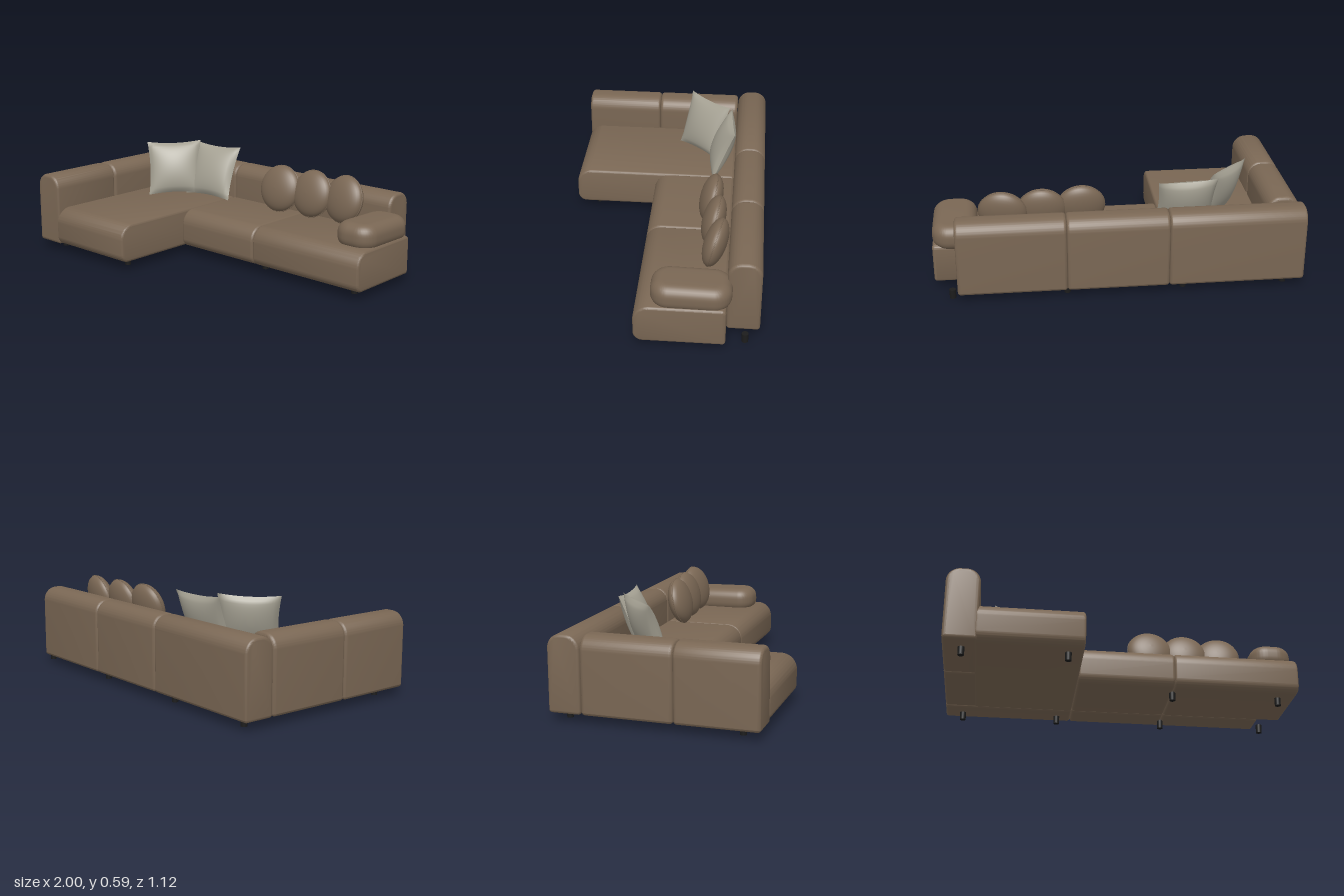
import * as THREE from 'three';
import { toCreasedNormals } from 'three/addons/utils/BufferGeometryUtils.js';

// Rounded rectangle; radii order: lower left, lower right, upper right, upper left
function roundedRect(x0, y0, x1, y1, [a, b, c, d]) {
  const s = new THREE.Shape();
  const P = Math.PI;
  s.absarc(x0 + a, y0 + a, a, P, 1.5 * P);
  s.absarc(x1 - b, y0 + b, b, 1.5 * P, 2 * P);
  s.absarc(x1 - c, y1 - c, c, 0, 0.5 * P);
  s.absarc(x0 + d, y1 - d, d, 0.5 * P, P);
  s.closePath();
  return s;
}

// Upholstered block: a profile extruded with soft rolled ends, centred on its length
function block(shape, length, bevel, segments = 5) {
  const g = new THREE.ExtrudeGeometry(shape, {
    depth: length - 2 * bevel, bevelEnabled: true, bevelThickness: bevel,
    bevelSize: bevel, bevelOffset: -bevel, bevelSegments: segments, curveSegments: 10,
  });
  g.translate(0, 0, bevel - length / 2);
  return toCreasedNormals(g, 0.5);
}

// One puffed face of a square pillow, with sides drawn in between the corners
function pillowFace(size, puff) {
  const g = new THREE.PlaneGeometry(2, 2, 20, 20);
  const p = g.attributes.position;
  for (let i = 0; i < p.count; i++) {
    const u = p.getX(i), v = p.getY(i);
    const x = u * (1 - 0.08 * (1 - v * v)) * size / 2;
    const y = v * (1 - 0.08 * (1 - u * u)) * size / 2;
    p.setXYZ(i, x, y, puff * Math.pow(Math.max(0, (1 - u * u) * (1 - v * v)), 0.55));
  }
  g.computeVertexNormals();
  return g;
}

export function createModel() {
  const model = new THREE.Group();
  model.name = 'cornerSofa';

  const material = (name, color) => {
    const m = new THREE.MeshStandardMaterial({ color });
    m.name = name;
    return m;
  };
  const brown = material('brownFabric', 0x7a6754);
  const grey = material('greyFabric', 0xa5a193);
  const black = material('blackLeg', 0x1c1c1c);

  const add = (parent, name, geometry, mat) => {
    const m = new THREE.Mesh(geometry, mat);
    m.name = name;
    parent.add(m);
    return m;
  };

  // Block running along x, with its profile in z and y
  const alongX = (name, x0, x1, shape, bevel) => {
    const g = block(shape, x1 - x0, bevel);
    g.rotateY(-Math.PI / 2);
    g.translate((x0 + x1) / 2, 0, 0);
    add(model, name, g, brown);
  };

  // Backrest sections
  const back = roundedRect(-0.56, 0.045, -0.384, 0.457, [0.018, 0.018, 0.075, 0.075]);
  [[-1, -0.262], [-0.262, 0.286], [0.286, 0.87]].forEach(([a, b], i) =>
    alongX('backrest' + (i + 1), a, b, back, 0.017));

  // Seats: a long chaise and two shorter seats with rolled fronts
  const seat = (front) => roundedRect(-0.386, 0.045, front, 0.262, [0.015, 0.05, 0.085, 0.025]);
  alongX('chaiseSeat', -0.835, -0.262, seat(0.557), 0.016);
  alongX('middleSeat', -0.262, 0.286, seat(0.085), 0.016);
  alongX('endSeat', 0.286, 1, seat(0.085), 0.016);

  // Side arm sections running along z
  const arm = roundedRect(-1, 0.045, -0.818, 0.455, [0.018, 0.018, 0.075, 0.075]);
  [[-0.382, 0.106], [0.106, 0.553]].forEach(([a, b], i) => {
    const g = block(arm, b - a, 0.02);
    g.translate(0, 0, (a + b) / 2);
    add(model, 'sideArm' + (i + 1), g, brown);
  });

  // Low bolster resting on the end seat
  const r = 0.095;
  const bolster = block(roundedRect(-0.12, -0.207, 0.12, 0.207, [r, r, r, r]), 0.142, 0.06, 8);
  bolster.rotateX(-Math.PI / 2);
  const bolsterMesh = add(model, 'armBolster', bolster, brown);
  bolsterMesh.position.set(0.879, 0.304, -0.205);
  bolsterMesh.rotation.x = -0.02;

  // Round cushions: lens-shaped body with a piped rim
  const profile = [];
  for (let i = 0; i <= 20; i++) {
    const t = (i / 20 - 0.5) * Math.PI;
    profile.push(new THREE.Vector2(Math.max(0, 0.133 * Math.cos(t)), 0.06 * Math.sin(t)));
  }
  const disc = new THREE.LatheGeometry(profile, 48);
  disc.rotateX(Math.PI / 2);
  const rim = new THREE.TorusGeometry(0.133, 0.003, 6, 48);
  [[0.193, -0.268, 0.04], [0.405, -0.292, -0.04], [0.615, -0.311, -0.15]].forEach(([x, z, yaw], i) => {
    const cushion = new THREE.Group();
    cushion.name = 'roundCushion' + (i + 1);
    add(cushion, 'cushionBody', disc, brown);
    add(cushion, 'cushionPiping', rim, brown);
    cushion.position.set(x, 0.409, z);
    cushion.rotation.set(-0.25, yaw, 0, 'YXZ');
    model.add(cushion);
  });

  // Square scatter pillows leaning in the corner
  const face = pillowFace(0.33, 0.055);
  [[-0.59, 0.427, -0.188, 0.79, -0.33, 0.03], [-0.378, 0.42, -0.307, 0.08, -0.38, 0]].forEach(
    ([x, y, z, yaw, lean, roll], i) => {
      const pillow = new THREE.Group();
      pillow.name = 'squarePillow' + (i + 1);
      add(pillow, 'pillowFront', face, grey);
      add(pillow, 'pillowBack', face, grey).rotation.y = Math.PI;
      pillow.position.set(x, y, z);
      pillow.rotation.set(lean, yaw, roll, 'YXZ');
      model.add(pillow);
    });

  // Short round legs
  const leg = new THREE.CylinderGeometry(0.018, 0.017, 0.05, 20);
  [[-0.9, -0.485], [-0.345, -0.485], [0.285, -0.485], [0.9, -0.485],
    [0.285, -0.035], [0.9, -0.035], [-0.345, 0.44], [-0.9, 0.44]].forEach(([x, z], i) =>
    add(model, 'leg' + (i + 1), leg, black).position.set(x, 0.025, z));

  return model;
}
